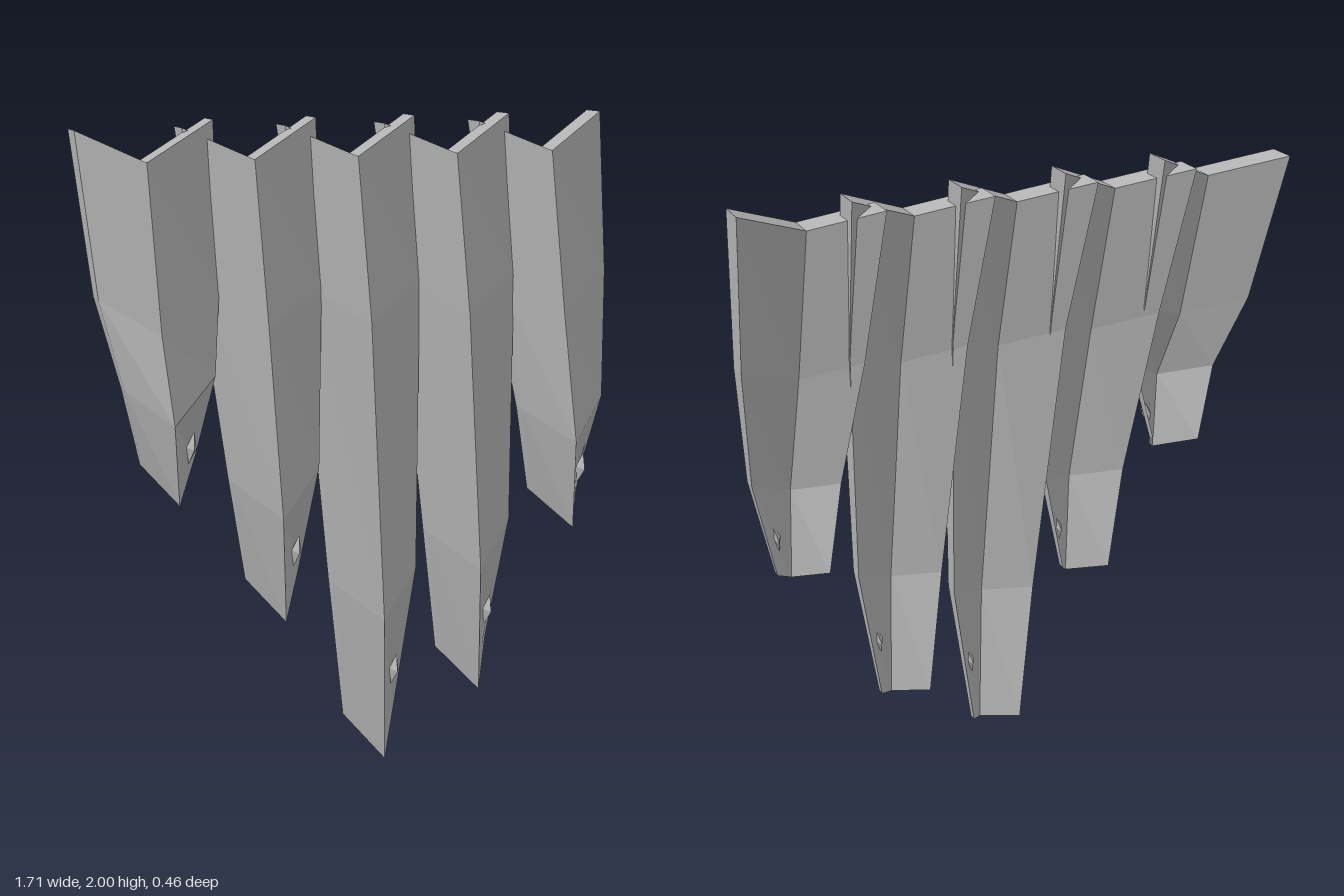
import * as THREE from 'three';

// Cross-sections from top to tip. Each has left, ridge and right points as
// [x offset, y, front z], plus the blade thickness toward the back.
function bladeRows(shoulder, tip) {
  return [
    { t: 0.09, p: [[-0.17, 1.975, -0.14], [0, 1.89, 0.04], [0.24, 2, -0.1]] },
    { t: 0.07, p: [[-0.14, 1.49, -0.03], [0.005, 1.4, 0.14], [0.22, 1.5, 0]] },
    { t: 0.045, p: [[-0.09, shoulder + 0.08, 0.05], [0.013, shoulder, 0.23], [0.18, shoulder + 0.11, 0.08]] },
    { t: 0.025, p: [[-0.035, tip + 0.085, 0.01], [0.033, tip, 0.185], [0.13, tip + 0.11, 0.02]] },
  ];
}

// Flat-faced solid joining the V-shaped sections, with both ends closed
function bladeGeometry(rows) {
  const rings = rows.map(({ t, p }) => [
    ...p,
    ...[...p].reverse().map(([x, y, z]) => [x, y, z - t]),
  ]);
  const pos = [];
  const quad = (a, b, c, d) => pos.push(...a, ...b, ...c, ...a, ...c, ...d);
  for (let i = 0; i < rings.length - 1; i++) {
    for (let k = 0; k < 6; k++) {
      const n = (k + 1) % 6;
      quad(rings[i][k], rings[i + 1][k], rings[i + 1][n], rings[i][n]);
    }
  }
  const top = rings[0], end = rings[rings.length - 1];
  quad(top[0], top[1], top[4], top[5]);
  quad(top[1], top[2], top[3], top[4]);
  quad(end[5], end[4], end[1], end[0]);
  quad(end[4], end[3], end[2], end[1]);
  const g = new THREE.BufferGeometry();
  g.setAttribute('position', new THREE.Float32BufferAttribute(pos, 3));
  g.computeVertexNormals();
  return g;
}

export function createModel() {
  const model = new THREE.Group();
  model.name = 'bladeFan';
  const grey = new THREE.MeshStandardMaterial({ color: 0xb0b0b0 });
  grey.name = 'grey';

  // Shoulder and tip heights, from the model's right to its left
  const blades = [[1.15, 0.9], [0.84, 0.5], [0.48, 0], [0.61, 0.19], [0.99, 0.7]];
  blades.forEach(([shoulder, tip], i) => {
    const group = new THREE.Group();
    group.name = `blade${i + 1}`;
    group.position.x = -0.69 + i * 0.325;

    const body = new THREE.Mesh(bladeGeometry(bladeRows(shoulder, tip)), grey);
    body.name = 'bladeBody';

    // Small faceted stud passing through the tip panel
    const stud = new THREE.Mesh(new THREE.OctahedronGeometry(1), grey);
    stud.name = 'tipStud';
    stud.scale.set(0.016, 0.05, 0.032);
    stud.rotation.z = -0.2;
    stud.position.set(0.092, (shoulder + tip) / 2 + 0.03, 0.113);

    group.add(body, stud);
    model.add(group);
  });
  return model;
}
